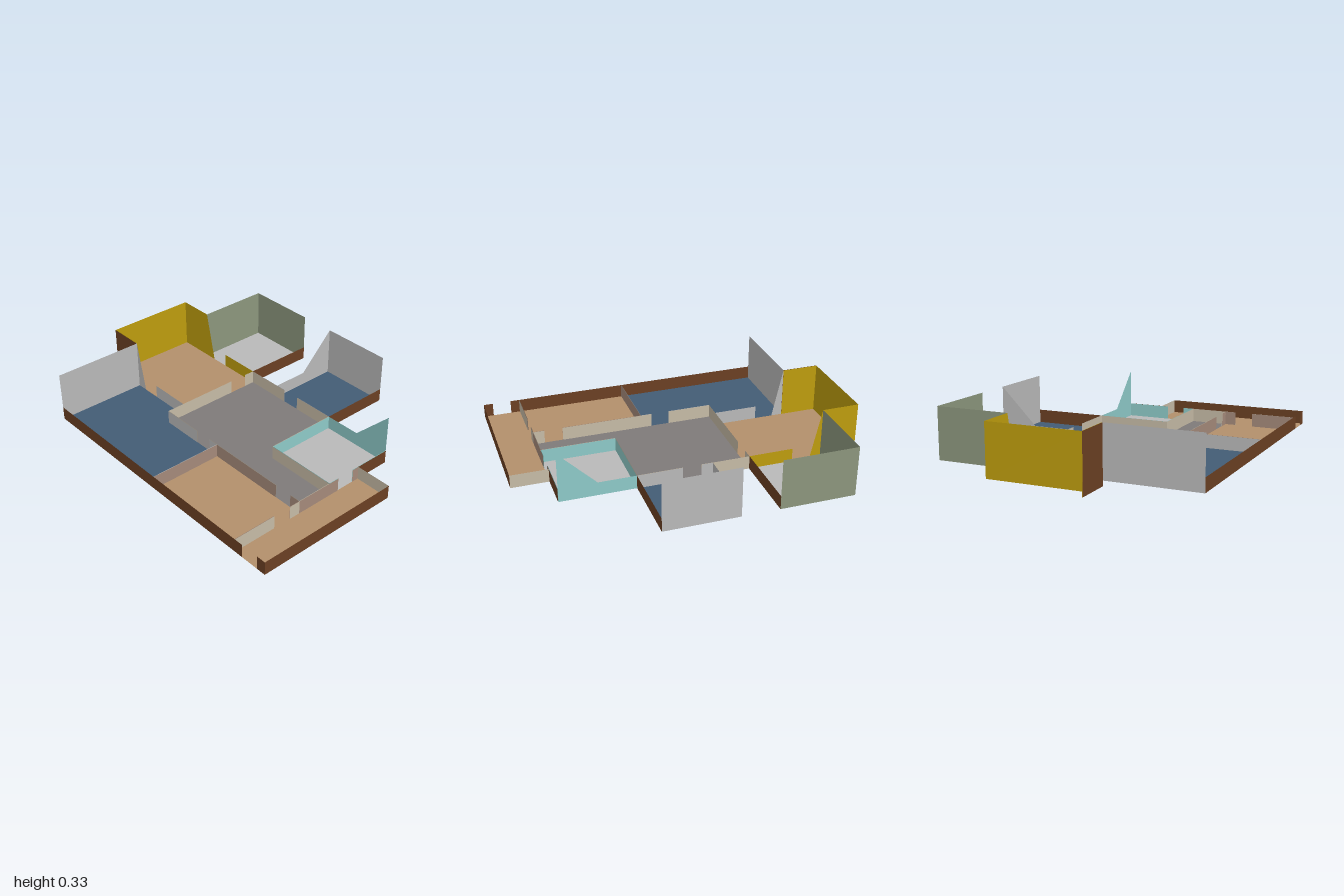
import * as THREE from 'three';

const U = 1 / 9;                       // plan module
const BASE = 0.03, LOW = 0.111, TALL = 0.333;

export function createModel() {
  const model = new THREE.Group();
  model.name = 'floorPlan';

  const mat = (name, color) => {
    const m = new THREE.MeshStandardMaterial({ color, side: THREE.DoubleSide });
    m.name = name;
    return m;
  };
  const tan = mat('tanFloor', 0xb3906b);
  const blue = mat('blueFloor', 0x435c75);
  const hall = mat('hallFloor', 0x7f7a79);
  const gray = mat('lightGray', 0xb9b9b9);
  const brick = mat('brickBrown', 0x6b4023);
  const green = mat('sageGreen', 0x8c967d);
  const yellow = mat('mustardYellow', 0xbe9d0e);
  const teal = mat('paleTeal', 0x8ecac8);
  const beige = mat('hallBeige', 0xc6bba6);
  const pink = mat('dustyBrown', 0xa58a7a);

  // Flat floor from plan-module bounds
  const floor = (name, m, x0, x1, z0, z1) => {
    const g = new THREE.PlaneGeometry((x1 - x0) * U, (z1 - z0) * U).rotateX(-Math.PI / 2);
    const mesh = new THREE.Mesh(g, m);
    mesh.name = name;
    mesh.position.set((x0 + x1) / 2 * U, BASE, (z0 + z1) / 2 * U);
    model.add(mesh);
  };

  // Thin upright panel; outline is [along, height] pairs, axis is the one held constant.
  // A second colour makes a two-skinned wall (positive side, negative side).
  const panel = (name, axis, at, outline, mPos, mNeg) => {
    const skins = mNeg ? [[mPos, 0.0015], [mNeg, -0.0015]] : [[mPos, 0]];
    const shape = new THREE.Shape(outline.map(([s, y]) => new THREE.Vector2(s * U, y)));
    for (const [m, off] of skins) {
      const g = new THREE.ShapeGeometry(shape);
      if (axis === 'x') g.rotateY(-Math.PI / 2);
      const mesh = new THREE.Mesh(g, m);
      mesh.name = name;
      mesh.position[axis] = at * U + off;
      model.add(mesh);
    }
  };
  const wall = (name, axis, at, a, b, top, mPos, mNeg, bottom = BASE) =>
    panel(name, axis, at, [[a, bottom], [b, bottom], [b, top], [a, top]], mPos, mNeg);

  // Low wall with a door opening from d0 to d1
  const doorWall = (name, axis, at, a, b, d0, d1, mPos, mNeg) => {
    wall(name, axis, at, a, d0, LOW, mPos, mNeg);
    wall(name, axis, at, d1, b, LOW, mPos, mNeg);
  };

  // Floors
  floor('northWestFloor', gray, -7, -3, -7, -3);
  floor('northFloor', blue, -1, 3, -7, -3);
  floor('westFloor', tan, -9, -3, -3, 2);
  floor('hallFloor', hall, -3, 3, -3, 3);
  floor('hallFloor', hall, 3, 7, 1, 3);
  floor('eastFloor', gray, 3, 7, -3, 1);
  floor('southWestFloor', blue, -7, -3, 2, 7);
  floor('southWestFloor', blue, -3, 1, 3, 7);
  floor('southEastFloor', tan, 1, 9, 3, 7);
  floor('entryFloor', tan, 7, 9, -1, 3);

  // North-west room
  wall('greenBackWall', 'z', -7, -7, -3, TALL, green);
  wall('greenSideWall', 'x', -7, -7, -3, TALL, green);
  wall('northWestOuterWall', 'x', -3, -7, -3, LOW, brick);

  // West room, with tall walls sloping down to each doorway
  wall('yellowSideWall', 'x', -9, -3, 2, TALL, yellow);
  panel('yellowSlopedWall', 'z', -3, [[-9, BASE], [-6.4, BASE], [-7, TALL], [-9, TALL]], yellow);
  wall('yellowLowWall', 'z', -3, -5.4, -3, LOW, yellow);
  wall('tallBrickWall', 'z', 2, -9, -7, TALL, brick, yellow, 0);
  panel('graySlopedWall', 'z', 2, [[-7, BASE], [-6.4, BASE], [-7, TALL]], gray);
  wall('grayLowWall', 'z', 2, -5.4, -3, LOW, gray);

  // North room
  wall('grayBackWall', 'z', -7, -1, 3, TALL, gray);
  panel('graySlopedSideWall', 'x', -1,
    [[-7, BASE], [-3, BASE], [-3, LOW], [-5, LOW], [-7, TALL]], gray);
  wall('northOuterWall', 'x', 3, -7, -3, LOW, brick);
  doorWall('northDoorWall', 'z', -3, -1, 3, -0.4, 0.6, beige, gray);

  // East room
  panel('tealBackWall', 'z', -3,
    [[3, BASE], [7, BASE], [7, TALL], [5, LOW], [3, LOW]], teal);
  wall('eastInnerWall', 'x', 3, -3, 1, LOW, teal, beige);
  wall('eastSouthWall', 'z', 1, 3, 7, LOW, beige, teal);
  wall('eastOuterWall', 'x', 7, -3, -1, LOW, brick, teal);
  doorWall('eastDoorWall', 'x', 7, -1, 1, -0.6, 0.4, pink, teal);

  // Hall
  wall('hallNorthWall', 'z', -3, -3, -1, LOW, beige);
  doorWall('hallWestWall', 'x', -3, -3, 3, -2.4, -1.4, beige);
  doorWall('hallSouthWestWall', 'z', 3, -3, 1, -0.6, 0.4, gray, beige);
  doorWall('hallSouthEastWall', 'z', 3, 1, 7, 5.4, 6.4, pink, beige);
  wall('hallEastWall', 'x', 7, 1, 3, LOW, pink, beige);

  // South rooms and entry
  wall('grayWestWall', 'x', -7, 2, 7, TALL, gray);
  wall('southDivider', 'x', 1, 3, 7, LOW, pink, gray);
  doorWall('entryDivider', 'x', 7, 3, 7, 3.6, 4.6, beige, pink);
  doorWall('frontBrickWall', 'z', 7, -7, 9, 7.5, 8.5, brick);
  wall('entryOuterWall', 'x', 9, -1, 7, LOW, brick);
  wall('entryBackWall', 'z', -1, 7, 9, LOW, beige);

  return model;
}
